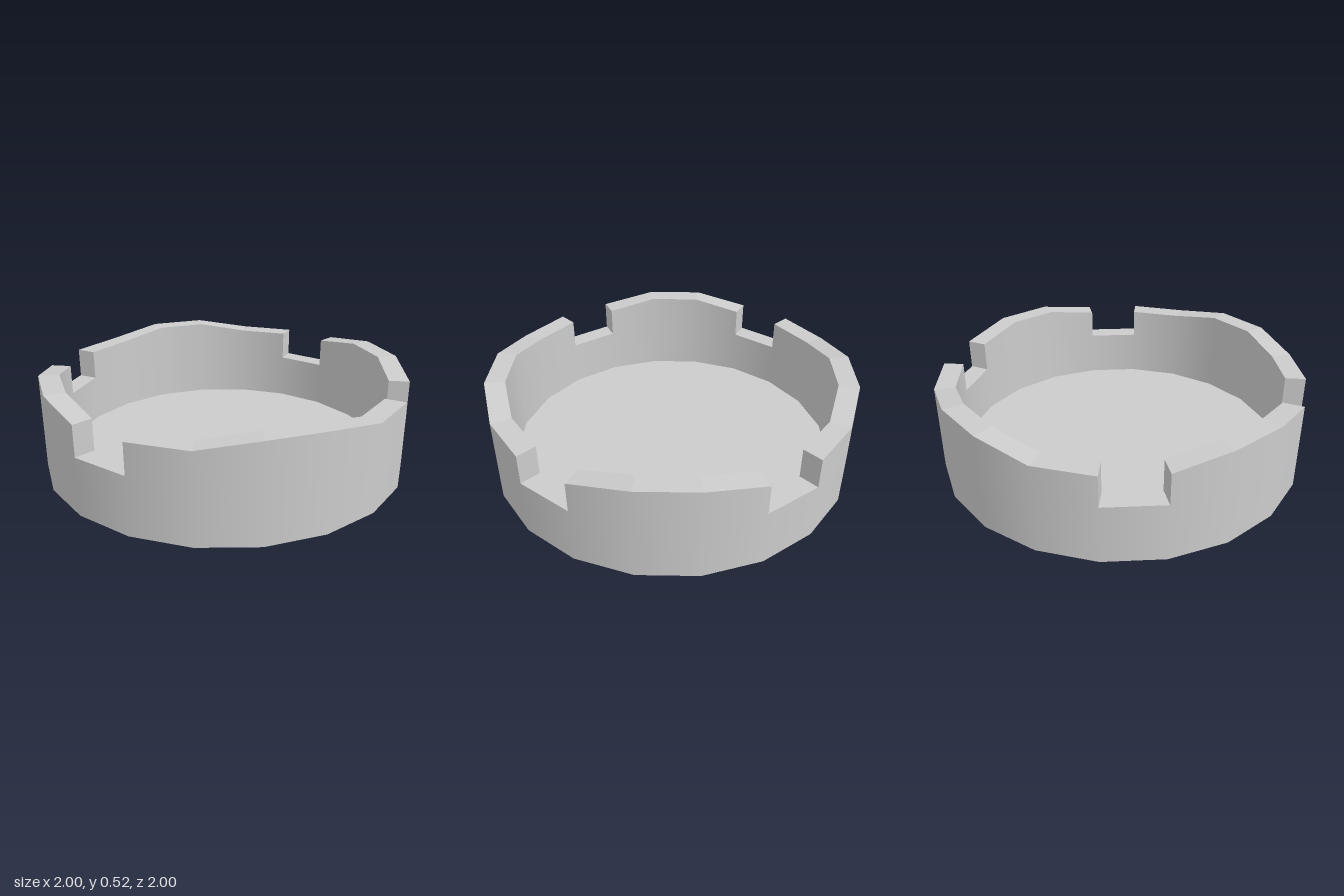
import * as THREE from 'three';

const SIDES = 20, OUTER = 1, INNER = 0.89, FLOOR = 0.05, NOTCH_Y = 0.31;
const RIM = [0.475, 0.475, 0.52, 0.52, 0.475]; // rim height, repeating every quarter turn
const NOTCHES = [5, 9, 15, 19];                // segments that are cut down

const direction = (k) => {
  const a = (k % SIDES) * Math.PI * 2 / SIDES;
  return new THREE.Vector3(Math.sin(a), 0, Math.cos(a));
};
const point = (r, k, y) => direction(k).multiplyScalar(r).setY(y);

// Collects quads; corners run counter-clockwise seen from the front.
function quadBuilder() {
  const pos = [], nor = [];
  return {
    add(corners, normals) {
      const [a, b, c] = corners;
      const flat = b.clone().sub(a).cross(c.clone().sub(a)).normalize();
      for (const i of [0, 1, 2, 0, 2, 3]) {
        pos.push(...corners[i].toArray());
        nor.push(...(normals ? normals[i] : flat).toArray());
      }
    },
    build() {
      const g = new THREE.BufferGeometry();
      g.setAttribute('position', new THREE.Float32BufferAttribute(pos, 3));
      g.setAttribute('normal', new THREE.Float32BufferAttribute(nor, 3));
      return g;
    },
  };
}

export function createModel() {
  const group = new THREE.Group();
  const material = new THREE.MeshStandardMaterial({ color: 0xcccccc });
  const add = (name, geometry) => {
    const mesh = new THREE.Mesh(geometry, material);
    mesh.name = name;
    group.add(mesh);
    return mesh;
  };

  const outer = quadBuilder(), inner = quadBuilder();
  const rim = quadBuilder(), cheeks = quadBuilder();

  for (let k = 0; k < SIDES; k++) {
    const n = k + 1;
    const notched = NOTCHES.includes(k);
    const h0 = RIM[k % 5], h1 = RIM[n % 5];
    const y0 = notched ? NOTCH_Y : h0, y1 = notched ? NOTCH_Y : h1;
    const d0 = direction(k), d1 = direction(n);
    const i0 = d0.clone().negate(), i1 = d1.clone().negate();

    // Smooth wall faces, outside and inside
    outer.add([point(OUTER, k, 0), point(OUTER, n, 0), point(OUTER, n, y1), point(OUTER, k, y0)],
      [d0, d1, d1, d0]);
    inner.add([point(INNER, n, FLOOR), point(INNER, k, FLOOR), point(INNER, k, y0), point(INNER, n, y1)],
      [i1, i0, i0, i1]);

    // Top of the wall, or the sill of a notch
    rim.add([point(OUTER, k, y0), point(OUTER, n, y1), point(INNER, n, y1), point(INNER, k, y0)]);

    // Upright sides of a notch
    if (notched) {
      cheeks.add([point(OUTER, k, y0), point(INNER, k, y0), point(INNER, k, h0), point(OUTER, k, h0)]);
      cheeks.add([point(INNER, n, y1), point(OUTER, n, y1), point(OUTER, n, h1), point(INNER, n, h1)]);
    }
  }

  add('outerWall', outer.build());
  add('innerWall', inner.build());
  add('rim', rim.build());
  add('notchSides', cheeks.build());

  // Floor of the tray and its underside
  const floor = add('floor', new THREE.CircleGeometry(INNER, SIDES));
  floor.rotation.x = -Math.PI / 2;
  floor.position.y = FLOOR;
  const underside = add('underside', new THREE.CircleGeometry(OUTER, SIDES));
  underside.rotation.x = Math.PI / 2;

  return group;
}
